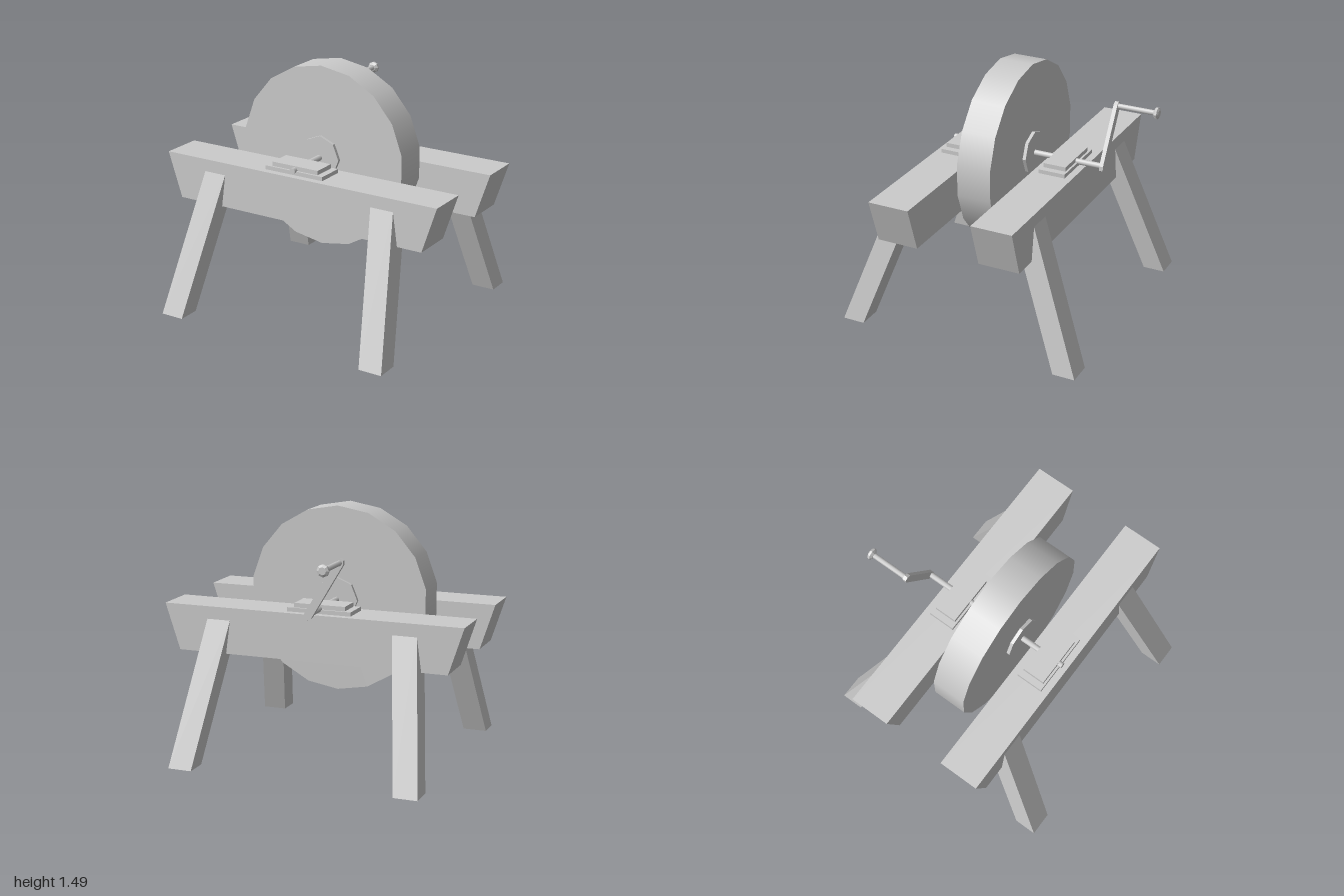
import * as THREE from 'three';

const mat = new THREE.MeshStandardMaterial({ color: 0xcccccc });
const flat = new THREE.MeshStandardMaterial({ color: 0xcccccc, flatShading: true });
const openFlat = new THREE.MeshStandardMaterial({ color: 0xcccccc, flatShading: true, side: THREE.DoubleSide });

const AXLE_Y = 0.94, AXLE_Z = -0.04;
const BEAM_X = 0.319, BEAM_LOW = 0.635, BEAM_TOP = 0.91;

function add(parent, name, geometry, material, x = 0, y = 0, z = 0) {
  const mesh = new THREE.Mesh(geometry, material);
  mesh.name = name;
  mesh.position.set(x, y, z);
  parent.add(mesh);
  return mesh;
}

// Moves every vertex by a rule, then renews the normals
function reshape(geometry, rule) {
  const g = geometry.toNonIndexed();
  const p = g.attributes.position;
  const v = new THREE.Vector3();
  for (let i = 0; i < p.count; i++) {
    rule(v.fromBufferAttribute(p, i));
    p.setXYZ(i, v.x, v.y, v.z);
  }
  g.computeVertexNormals();
  return g;
}

// Cylinder lying along x, with a corner at the top
function rod(radius, length, sides) {
  return new THREE.CylinderGeometry(radius, radius, length, sides, 1, false, Math.PI / 2).rotateZ(Math.PI / 2);
}

// Beam with ends undercut towards the bottom
function beamGeometry() {
  const h = BEAM_TOP - BEAM_LOW;
  return reshape(new THREE.BoxGeometry(0.25, h, 1.83), (v) => {
    if (v.y < 0) v.z -= Math.sign(v.z) * 0.09;
  });
}

// Hollow square leg leaning in to the beam, level at the foot
function legGeometry(sx, sz) {
  const g = new THREE.CylinderGeometry(Math.SQRT1_2, Math.SQRT1_2, 0.85, 4, 1, true);
  g.rotateY(Math.PI / 4).scale(0.135, 1, 0.145).translate(0, 0.425, 0);
  return reshape(g, (v) => {
    v.x += sx * (0.687 - 0.372 * v.y);
    v.z += sz * (0.688 - 0.141 * v.y);
  });
}

// Flat crank arm with pointed ends, standing in the y-z plane
function armGeometry(length, width, thickness) {
  const w = width / 2, s = new THREE.Shape();
  s.moveTo(-w, 0);
  s.lineTo(-w / 2, -w);
  s.lineTo(w / 2, -w);
  s.lineTo(w, 0);
  s.lineTo(w, length);
  s.lineTo(w / 2, length + w);
  s.lineTo(-w / 2, length + w);
  s.lineTo(-w, length);
  s.closePath();
  const g = new THREE.ExtrudeGeometry(s, { depth: thickness, bevelEnabled: false });
  return g.translate(0, 0, -thickness / 2).rotateY(Math.PI / 2);
}

export function createModel() {
  const model = new THREE.Group();
  model.name = 'grindstone';
  const body = new THREE.Group();
  body.name = 'body';
  body.rotation.y = 0.254;
  model.add(body);

  // Trestle: two beams, each with two legs and a stepped bearing
  for (const sx of [1, -1]) {
    const side = sx > 0 ? 'left' : 'right';
    add(body, side + 'Beam', beamGeometry(), flat, sx * BEAM_X, (BEAM_LOW + BEAM_TOP) / 2, 0);
    for (const sz of [1, -1]) {
      add(body, side + (sz > 0 ? 'FrontLeg' : 'BackLeg'), legGeometry(sx, sz), openFlat);
    }
    add(body, side + 'BearingPlate', new THREE.BoxGeometry(0.166, 0.024, 0.39), flat, sx * BEAM_X, 0.922, AXLE_Z);
    add(body, side + 'BearingBlock', new THREE.BoxGeometry(0.14, 0.03, 0.31), flat, sx * BEAM_X, 0.945, AXLE_Z);
  }

  // Stone wheel, hub and axle
  add(body, 'wheel', rod(0.55, 0.21, 18), mat, -0.003, AXLE_Y, AXLE_Z);
  add(body, 'hub', rod(0.13, 0.25, 8), flat, -0.003, AXLE_Y, AXLE_Z);
  add(body, 'axle', rod(0.018, 0.98, 8), mat, 0.075, AXLE_Y - 0.003, AXLE_Z);

  // Crank arm and handle
  const top = new THREE.Vector2(1.245 - AXLE_Y + 0.01, -0.23 - AXLE_Z);
  const arm = add(body, 'crankArm', armGeometry(top.length(), 0.048, 0.024), flat, 0.553, AXLE_Y - 0.01, AXLE_Z);
  arm.rotation.x = Math.atan2(top.y, top.x);
  add(body, 'crankHandle', rod(0.016, 0.26, 8), mat, 0.675, 1.245, -0.23);

  // Flared knob at the end of the handle
  const profile = [[0, -0.016], [0.02, -0.016], [0.036, -0.004], [0.036, 0.008], [0.022, 0.016], [0, 0.016]];
  const knob = new THREE.LatheGeometry(profile.map(([r, y]) => new THREE.Vector2(r, y)), 8);
  add(body, 'handleKnob', knob.rotateZ(-Math.PI / 2), flat, 0.802, 1.245, -0.23);

  return model;
}
